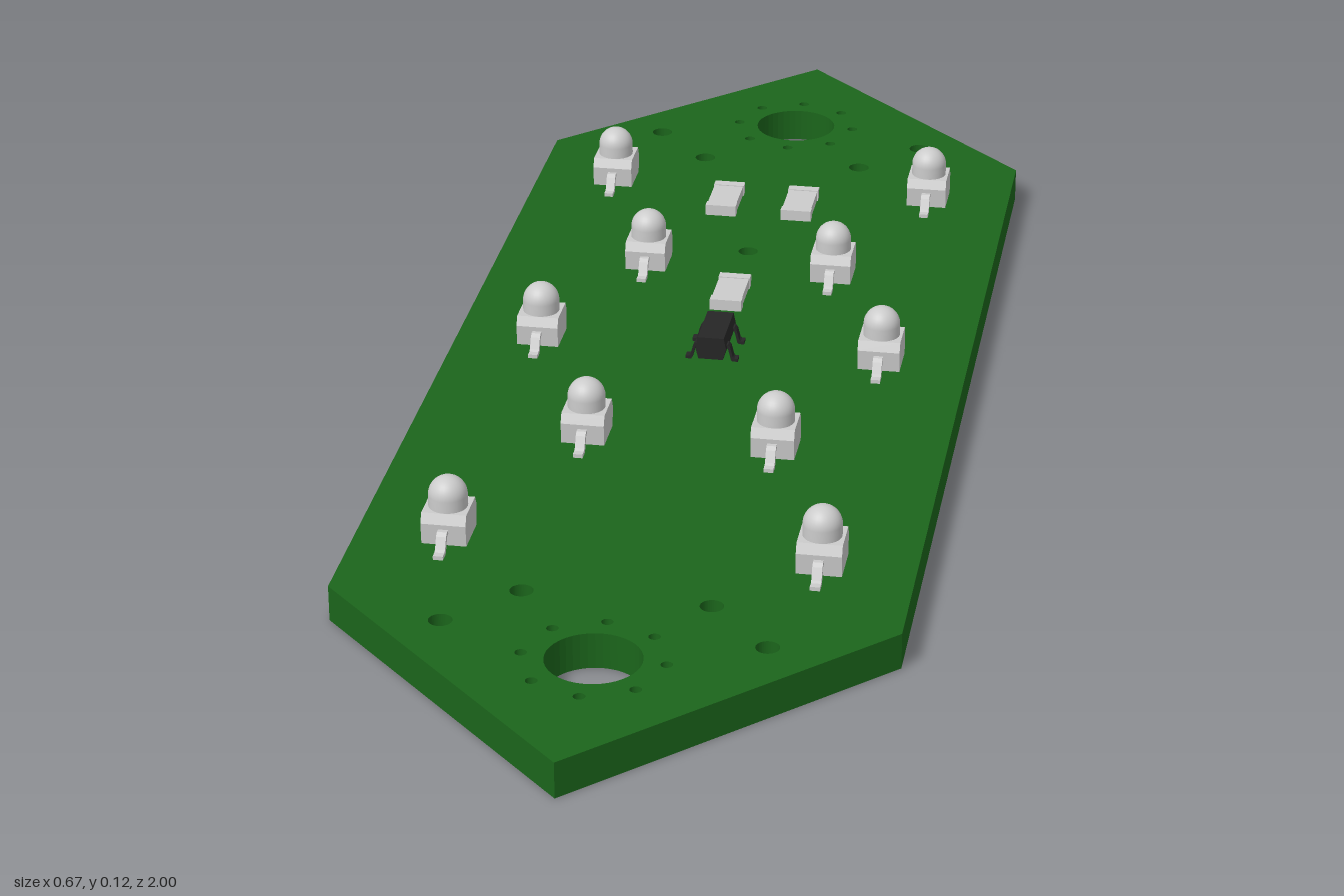
import * as THREE from 'three';

const TOP = 0.045; // board thickness

const grey = new THREE.MeshStandardMaterial({ color: 0xcccccc });
const green = new THREE.MeshStandardMaterial({ color: 0x1b651b });
const black = new THREE.MeshStandardMaterial({ color: 0x262626 });

function add(parent, name, geometry, material, x = 0, y = 0, z = 0) {
  const mesh = new THREE.Mesh(geometry, material);
  mesh.name = name;
  mesh.position.set(x, y, z);
  parent.add(mesh);
  return mesh;
}

// Extrudes an outline, centred on its depth
function slab(points, depth) {
  const shape = new THREE.Shape(points.map(([x, y]) => new THREE.Vector2(x, y)));
  return new THREE.ExtrudeGeometry(shape, { depth, bevelEnabled: false }).translate(0, 0, -depth / 2);
}

// Bent strip lead: leaves the body, turns down and ends in a flat foot
function leadGeometry(start, end, height, thick, width) {
  const s = end - start;
  const upper = [
    [start, height], [start + 0.3 * s, height], [start + 0.45 * s, height * 0.85],
    [start + 0.65 * s, thick * 1.4], [start + 0.75 * s, thick], [end, thick],
  ];
  const lower = [
    [end, 0], [start + 0.6 * s, 0], [start + 0.5 * s, thick * 0.6],
    [start + 0.3 * s, height * 0.75], [start + 0.22 * s, height - thick], [start, height - thick],
  ];
  return slab([...upper, ...lower], width);
}

function createBoard(parent) {
  const shape = new THREE.Shape();
  [[0, -1], [0.333, -0.667], [0.333, 0.667], [0, 1], [-0.333, 0.667], [-0.333, -0.667]]
    .forEach(([x, y], i) => (i ? shape.lineTo(x, y) : shape.moveTo(x, y)));
  const hole = (x, y, r) => shape.holes.push(new THREE.Path().absarc(x, y, r, 0, Math.PI * 2, true));

  hole(0, 0.33, 0.013);
  for (const end of [-1, 1]) {
    // Large hole with a ring of eight small ones
    hole(0, end * 0.778, 0.056);
    for (let i = 0; i < 8; i++) {
      const a = (i * Math.PI) / 4;
      hole(0.083 * Math.cos(a), end * 0.778 + 0.083 * Math.sin(a), 0.007);
    }
    // Mounting holes
    for (const side of [-1, 1]) {
      hole(side * 0.188, end * 0.722, 0.014);
      hole(side * 0.111, end * 0.64, 0.014);
    }
  }
  const geometry = new THREE.ExtrudeGeometry(shape, { depth: TOP, bevelEnabled: false, curveSegments: 20 });
  add(parent, 'board', geometry.rotateX(-Math.PI / 2), green);
}

// Shared lamp geometries
const lampBody = slab([
  [-0.028, 0.003], [0.028, 0.003], [0.03, 0.03], [0.024, 0.042], [-0.024, 0.042], [-0.03, 0.03],
], 0.054).rotateY(-Math.PI / 2);
const lensProfile = [new THREE.Vector2(0.0235, 0.04)];
for (let i = 0; i <= 10; i++) {
  const a = (i / 10) * Math.PI / 2;
  lensProfile.push(new THREE.Vector2(0.0235 * Math.cos(a), 0.0565 + 0.0235 * Math.sin(a)));
}
const lampLens = new THREE.LatheGeometry(lensProfile, 28);
const lampLead = leadGeometry(0.025, 0.06, 0.024, 0.005, 0.012).rotateY(-Math.PI / 2);

function createLamp(x, z) {
  const lamp = new THREE.Group();
  lamp.name = 'lamp';
  add(lamp, 'lampBody', lampBody, grey);
  add(lamp, 'lampLens', lampLens, grey);
  add(lamp, 'frontLead', lampLead, grey);
  add(lamp, 'backLead', lampLead, grey).rotation.y = Math.PI;
  lamp.position.set(x, TOP, z);
  return lamp;
}

// Flat resistor with slightly raised end caps
function createResistor(x, z) {
  const resistor = new THREE.Group();
  resistor.name = 'resistor';
  add(resistor, 'resistorBody', new THREE.BoxGeometry(0.04, 0.013, 0.062), grey, 0, 0.0085, 0);
  for (const end of [-1, 1]) {
    add(resistor, 'endCap', new THREE.BoxGeometry(0.042, 0.015, 0.014), grey, 0, 0.0085, end * 0.036);
  }
  resistor.position.set(x, TOP, z);
  return resistor;
}

// Small chip with chamfered sides and four bent legs
function createChip(x, z) {
  const chip = new THREE.Group();
  chip.name = 'chip';
  const body = slab([
    [-0.016, 0.005], [0.016, 0.005], [0.02, 0.02], [0.017, 0.035], [-0.017, 0.035], [-0.02, 0.02],
  ], 0.08);
  add(chip, 'chipBody', body, black);
  const leg = leadGeometry(0.016, 0.034, 0.023, 0.004, 0.012);
  for (const side of [0, Math.PI]) {
    for (const dz of [-0.026, 0.026]) add(chip, 'chipLeg', leg, black, 0, 0, dz).rotation.y = side;
  }
  chip.position.set(x, TOP, z);
  return chip;
}

export function createModel() {
  const model = new THREE.Group();
  model.name = 'circuitBoard';
  createBoard(model);

  // Five rows of lamps: left x, right x, z
  const rows = [
    [-0.222, 0.222, -0.54], [-0.126, 0.125, -0.268], [-0.222, 0.222, -0.017],
    [-0.111, 0.125, 0.246], [-0.222, 0.222, 0.526],
  ];
  for (const [x1, x2, z] of rows) model.add(createLamp(x1, z), createLamp(x2, z));

  for (const [x, z] of [[-0.056, -0.482], [0.049, -0.482], [0, -0.18]]) model.add(createResistor(x, z));
  model.add(createChip(0.006, -0.022));
  return model;
}
